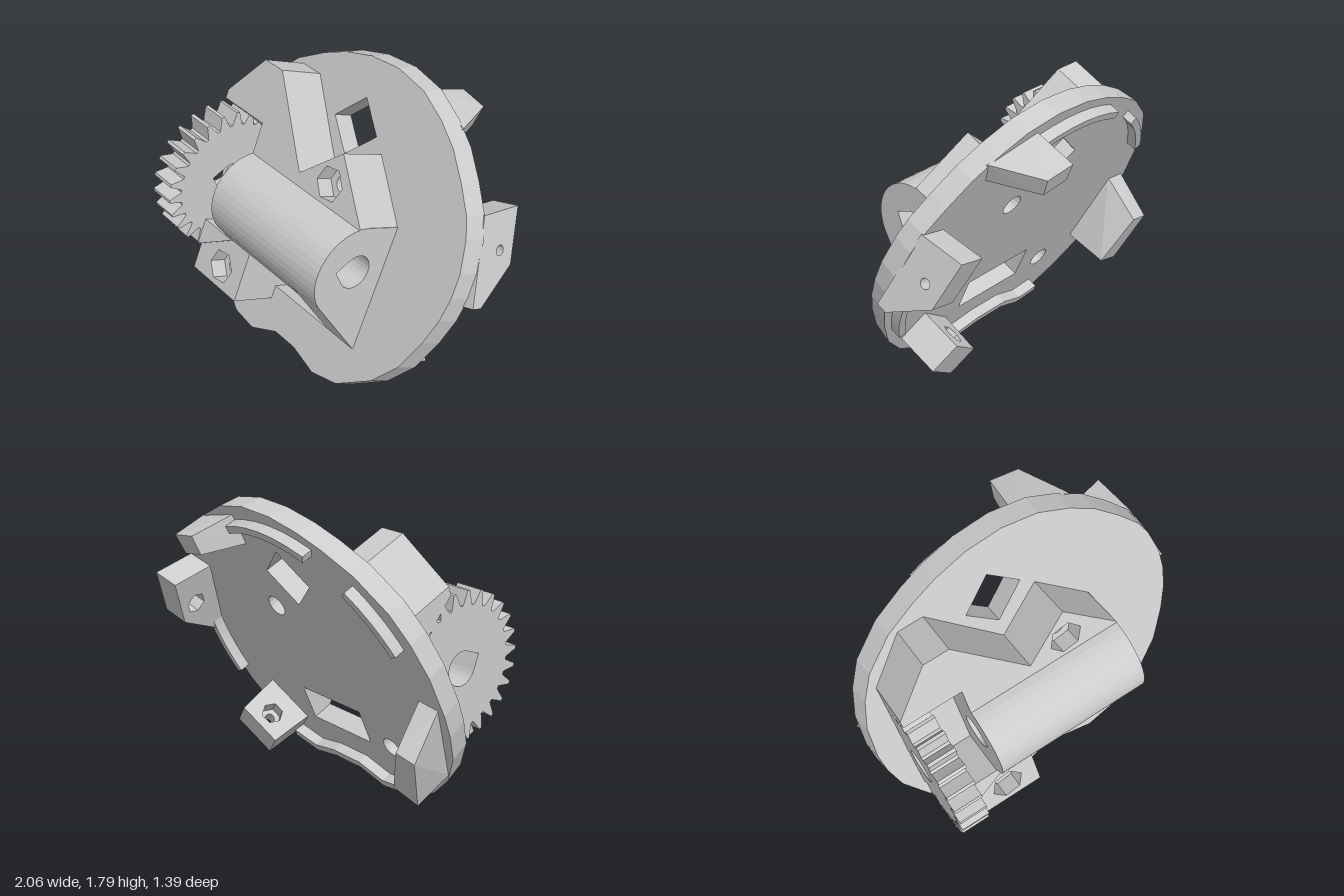
import * as THREE from 'three';
import { ConvexGeometry } from 'three/addons/geometries/ConvexGeometry.js';

const grey = new THREE.MeshStandardMaterial({ color: 0xcccccc });
grey.name = 'light grey plastic';

const TILT = -0.415;              // the plate leans back
const BACK = 0.285, FACE = 0.413, TOP = 0.705; // levels along the plate normal
const AXLE = [0.745, 0.625];      // axle height along the plate, and level
const V = (p) => new THREE.Vector2(p[0], p[1]);

function ring(cx, cy, r, n, turn = 0) {
  return Array.from({ length: n }, (_, i) => {
    const a = turn + (i / n) * Math.PI * 2;
    return [cx + r * Math.cos(a), cy + r * Math.sin(a)];
  });
}

function extrude(points, holes, depth) {
  const shape = new THREE.Shape(points.map(V));
  holes.forEach((h) => shape.holes.push(new THREE.Path(h.map(V))));
  return new THREE.ExtrudeGeometry(shape, { depth, bevelEnabled: false });
}

// Outline on the plate, raised from level w0 to w1
const slab = (points, holes, w0, w1) => extrude(points, holes, w1 - w0).translate(0, 0, w0);

// Side profile given as [height, level], running across from x0 to x1
function prism(points, holes, x0, x1) {
  const flip = (list) => list.map(([v, w]) => [-w, v]);
  return extrude(flip(points), holes.map(flip), x1 - x0).rotateY(Math.PI / 2).translate(x0, 0, 0);
}

// Curved strip of constant width along a path
function strip(path, width) {
  const left = [], right = [];
  path.forEach((p, i) => {
    const a = path[Math.max(i - 1, 0)], b = path[Math.min(i + 1, path.length - 1)];
    const l = Math.hypot(b[0] - a[0], b[1] - a[1]);
    const nx = (-(b[1] - a[1]) / l) * width / 2, ny = ((b[0] - a[0]) / l) * width / 2;
    left.push([p[0] + nx, p[1] + ny]);
    right.unshift([p[0] - nx, p[1] - ny]);
  });
  return left.concat(right);
}

export function createModel() {
  const model = new THREE.Group();
  const body = new THREE.Group();
  body.name = 'tiltedBody';
  body.rotation.x = TILT;
  model.add(body);
  const add = (name, geometry) => {
    const mesh = new THREE.Mesh(geometry, grey);
    mesh.name = name;
    body.add(mesh);
    return mesh;
  };

  const upperBolt = [0.18, 1.118], lowerBolt = [-0.425, 0.276];
  const bore = (b, r) => ring(b[0], b[1], r, 16);
  const hex = (b) => ring(b[0], b[1], 0.1, 6, 0.15);

  // Round plate with a scalloped lower edge, two windows and two bolt holes
  const outline = [
    [1, 0.85], [0.995, 1], [0.95, 1.18], [0.9, 1.29], [0.79, 1.43], [0.66, 1.57], [0.52, 1.67],
    [0.34, 1.76], [0.12, 1.8], [-0.1, 1.785], [-0.3, 1.73], [-0.46, 1.66], [-0.65, 1.55], [-0.83, 1.37],
    [-0.92, 1.2], [-0.98, 1], [-1, 0.75], [-0.99, 0.6], [-0.95, 0.42], [-0.84, 0.21], [-0.68, 0.04],
    [-0.49, -0.1], [-0.31, -0.12], [-0.11, -0.03], [0.07, -0.03], [0.27, -0.08], [0.47, -0.03],
    [0.7, 0.14], [0.84, 0.32], [0.93, 0.53], [0.98, 0.7]];
  const diamond = [[-0.035, 1.545], [0.13, 1.38], [-0.055, 1.195], [-0.22, 1.36]];
  const window = [[-0.23, 0.235], [0.26, 0.235], [0.26, 0.47], [-0.23, 0.47]];
  const plate = slab(outline, [diamond, window, bore(upperBolt, 0.065), bore(lowerBolt, 0.065)], BACK, FACE);
  const pos = plate.attributes.position;
  for (let i = 0; i < pos.count; i++) {
    // The rim is slightly smaller at the front
    const x = pos.getX(i), y = pos.getY(i) - 0.8;
    if (pos.getZ(i) > 0.4 && Math.hypot(x, y) > 0.78) pos.setXY(i, x * 0.985, 0.8 + y * 0.98);
  }
  plate.computeVertexNormals();
  add('roundPlate', plate);

  // Teardrop axle hole
  const teardrop = [[AXLE[0], AXLE[1] + 0.141]];
  for (let i = 0; i <= 18; i++) {
    const a = Math.PI / 4 + (i / 18) * Math.PI * 1.5;
    teardrop.push([AXLE[0] + 0.1 * Math.sin(a), AXLE[1] + 0.1 * Math.cos(a)]);
  }

  // Axle housing: rounded profile, cut short above the lower window
  const dome = [[1.01, 0.4]];
  for (let i = 0; i <= 16; i++) {
    const a = (i / 16) * 2.41;
    dome.push([0.74 + 0.27 * Math.cos(a), 0.63 + 0.27 * Math.sin(a)]);
  }
  add('axleHousing', prism([...dome, [0.47, 0.715], [0.47, 0.4]], [teardrop], -0.46, 0.26));
  add('axleHousingFoot', prism([...dome, [0.235, FACE], [0.235, 0.4]], [teardrop], 0.26, 0.49));

  // Gear, flattened where it meets the plate
  const gear = [], teeth = 26;
  for (let i = 0; i < teeth; i++) {
    [[-0.4, 0.355], [-0.24, 0.39], [-0.09, 0.435], [0.09, 0.435], [0.24, 0.39], [0.4, 0.355]].forEach(([t, r]) => {
      const a = ((i + t) / teeth) * Math.PI * 2;
      gear.push([AXLE[0] + r * Math.cos(a), Math.max(AXLE[1] + r * Math.sin(a), 0.35)]);
    });
  }
  add('gear', prism(gear, [teardrop], -0.82, -0.65));

  // Upper blocks around the diamond window
  add('upperBlock', slab([[-0.82, 1.187], [-0.82, 1.24], [-0.59, 1.52], [-0.435, 1.52], [-0.06, 1.07],
    [-0.06, 0.98], [-0.46, 0.98], [-0.46, 1.187]], [], 0.4, TOP));
  add('upperBlockWedge', prism([[1.187, TOP], [1.187, 0.4], [1.04, 0.4], [1.04, FACE]], [], -0.82, -0.46));

  // Bolt blocks: narrow bore below, hexagonal nut pocket above
  const boltBlock = (name, points, bolt) => {
    add(name + 'Base', slab(points, [bore(bolt, 0.05)], 0.4, 0.6));
    add(name + 'NutPocket', slab(points, [hex(bolt)], 0.6, TOP));
  };
  boltBlock('upperBoltBlock', [[-0.06, 0.98], [-0.06, 1.07], [0.205, 1.31], [0.49, 1.007], [0.49, 0.98]], upperBolt);
  boltBlock('lowerBoltBlock', [[-0.65, 0.15], [-0.23, 0.15], [-0.23, 0.475], [-0.65, 0.475]], lowerBolt);
  add('lowerBlockCorner', slab([[-0.65, 0.31], [-0.38, 0.475], [-0.65, 0.475]], [], 0.69, 0.73));

  // Raised locating ribs on the back
  const arc = (from, to) => Array.from({ length: 9 }, (_, i) => {
    const a = THREE.MathUtils.degToRad(from + ((to - from) * i) / 8);
    return [0.9 * Math.cos(a), 0.8 + 0.9 * Math.sin(a)];
  });
  const ribs = [arc(60, 114), arc(132, 158), arc(-23, 12),
    [[-0.45, 0.01], [-0.3, -0.01], [-0.13, 0.06], [0.09, 0.06], [0.28, 0.02], [0.46, 0.07]]];
  ribs.forEach((path, i) => add('backRib' + (i + 1), slab(strip(path, 0.045), [], 0.22, 0.3)));

  // Tapered hooks on the back, from base outline to tip outline
  const hook = (name, base, tip) => add(name, new ConvexGeometry([
    ...base.map((p) => new THREE.Vector3(p[0], p[1], BACK + 0.01)),
    ...tip.map((p) => new THREE.Vector3(p[0], p[1], 0.02))]));
  hook('topHook', [[0.25, 1.72], [0.58, 1.64], [0.55, 1.51], [0.23, 1.53]],
    [[0.27, 1.75], [0.445, 1.72], [0.42, 1.6], [0.26, 1.63]]);
  hook('sideHook', [[-0.96, 0.78], [-0.83, 0.8], [-0.7, 0.33], [-0.86, 0.26]],
    [[-0.985, 0.63], [-0.86, 0.66], [-0.72, 0.34], [-0.88, 0.28]]);

  // Screw lugs on the back: small hole outside, nut pocket inside
  function lug(name, x, y, angle, profile, hole, depth) {
    const group = new THREE.Group();
    group.name = name;
    const half = depth / 2;
    const parts = [extrude(profile, [ring(hole, 0.13, 0.03, 14)], half).translate(0, 0, -half),
      extrude(profile, [ring(hole, 0.13, 0.065, 6)], half).translate(0, 0, -depth)];
    // tangent, plate normal and outward direction
    const c = Math.cos(angle), s = Math.sin(angle);
    const m = new THREE.Matrix4().makeBasis(new THREE.Vector3(-s, c, 0),
      new THREE.Vector3(0, 0, 1), new THREE.Vector3(c, s, 0)).setPosition(x, y, 0);
    parts.forEach((g, i) => {
      const mesh = new THREE.Mesh(g.applyMatrix4(m), grey);
      mesh.name = name + (i ? 'NutPocket' : 'Outer');
      group.add(mesh);
    });
    body.add(group);
  }
  lug('rightLug', 0.94, 1.19, 0.305, [[-0.16, 0.02], [0.16, 0.02], [0.11, 0.295], [-0.39, 0.295], [-0.39, 0.23]], -0.08, 0.17);
  lug('lowerLug', 0.605, 0.155, -0.84, [[-0.14, 0.02], [0.14, 0.02], [0.16, 0.295], [-0.16, 0.295]], 0, 0.2);

  return model;
}
